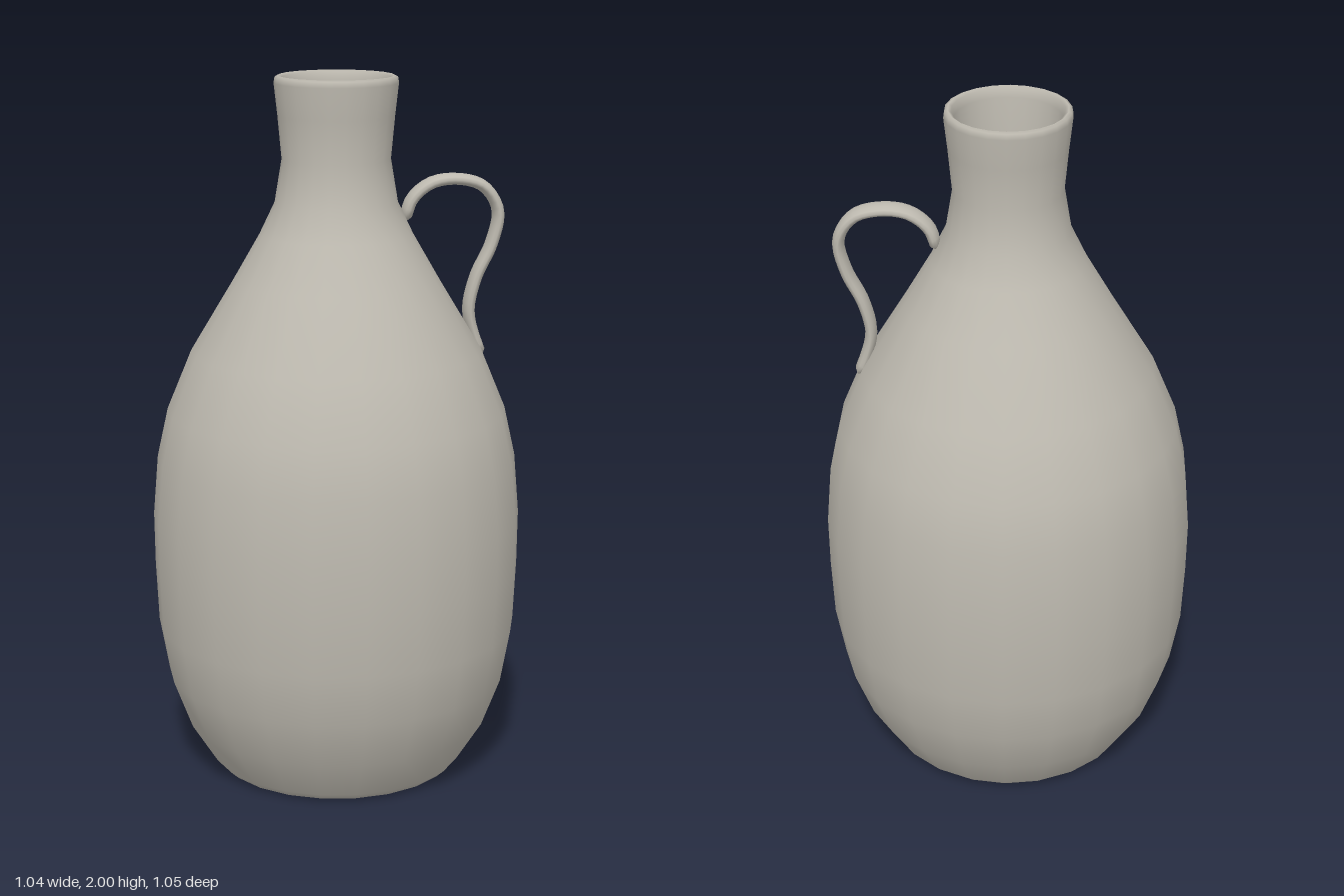
import * as THREE from 'three';
import { mergeVertices } from 'three/addons/utils/BufferGeometryUtils.js';

const clay = new THREE.MeshStandardMaterial({ color: 0xbdb9af });
clay.name = 'greyClay';

// Hollow bottle: underside, outer wall, lip, inner wall, floor
function createBody() {
  const profile = [
    [0, 0.03], [0.27, 0.03], [0.285, 0.022], [0.295, 0.008], [0.315, 0.001], [0.34, 0.005], [0.362, 0.025],
    [0.435, 0.14], [0.488, 0.28], [0.515, 0.43], [0.523, 0.6], [0.525, 0.75], [0.511, 0.92],
    [0.48, 1.06], [0.41, 1.23], [0.29, 1.43], [0.215, 1.56], [0.172, 1.65], [0.152, 1.77],
    [0.163, 1.89], [0.173, 1.98], [0.17, 1.996], [0.161, 2], [0.152, 1.994],
    [0.146, 1.97], [0.137, 1.87], [0.13, 1.77], [0.147, 1.65], [0.265, 1.42], [0.385, 1.22],
    [0.455, 1.05], [0.498, 0.75], [0.49, 0.43], [0.41, 0.15], [0.33, 0.06], [0, 0.055],
  ].map(([r, y]) => new THREE.Vector2(r, y));
  const body = new THREE.Mesh(new THREE.LatheGeometry(profile, 22), clay);
  body.name = 'bottleBody';
  return body;
}

// Curled strap handle: a tube flattened in the plane of its path, closed at both ends
function createHandle() {
  const path = new THREE.CatmullRomCurve3([
    [0.195, 1.585], [0.215, 1.65], [0.27, 1.695], [0.345, 1.705], [0.42, 1.683], [0.463, 1.615],
    [0.446, 1.52], [0.402, 1.425], [0.382, 1.33], [0.4, 1.25], [0.424, 1.195],
  ].map(([x, y]) => new THREE.Vector3(x, y, -0.004)));
  const steps = 40, sides = 12;
  const tube = new THREE.TubeGeometry(path, steps, 0.035, sides, false);
  const pos = tube.attributes.position;
  for (let i = 0; i <= steps; i++) {
    const c = path.getPointAt(i / steps);
    const fromEnd = Math.min(i, steps - i);
    const end = fromEnd === 0 ? 0 : fromEnd === 1 ? 0.9 : 1;
    for (let j = 0; j <= sides; j++) {
      const k = i * (sides + 1) + j;
      pos.setXYZ(k,
        c.x + (pos.getX(k) - c.x) * 0.48 * end,
        c.y + (pos.getY(k) - c.y) * 0.48 * end,
        c.z + (pos.getZ(k) - c.z) * end);
    }
  }
  tube.deleteAttribute('uv');
  tube.deleteAttribute('normal');
  const geometry = mergeVertices(tube, 1e-5);
  geometry.computeVertexNormals();
  const handle = new THREE.Mesh(geometry, clay);
  handle.name = 'handle';
  return handle;
}

export function createModel() {
  const model = new THREE.Group();
  model.name = 'handledBottle';
  model.add(createBody(), createHandle());
  return model;
}
